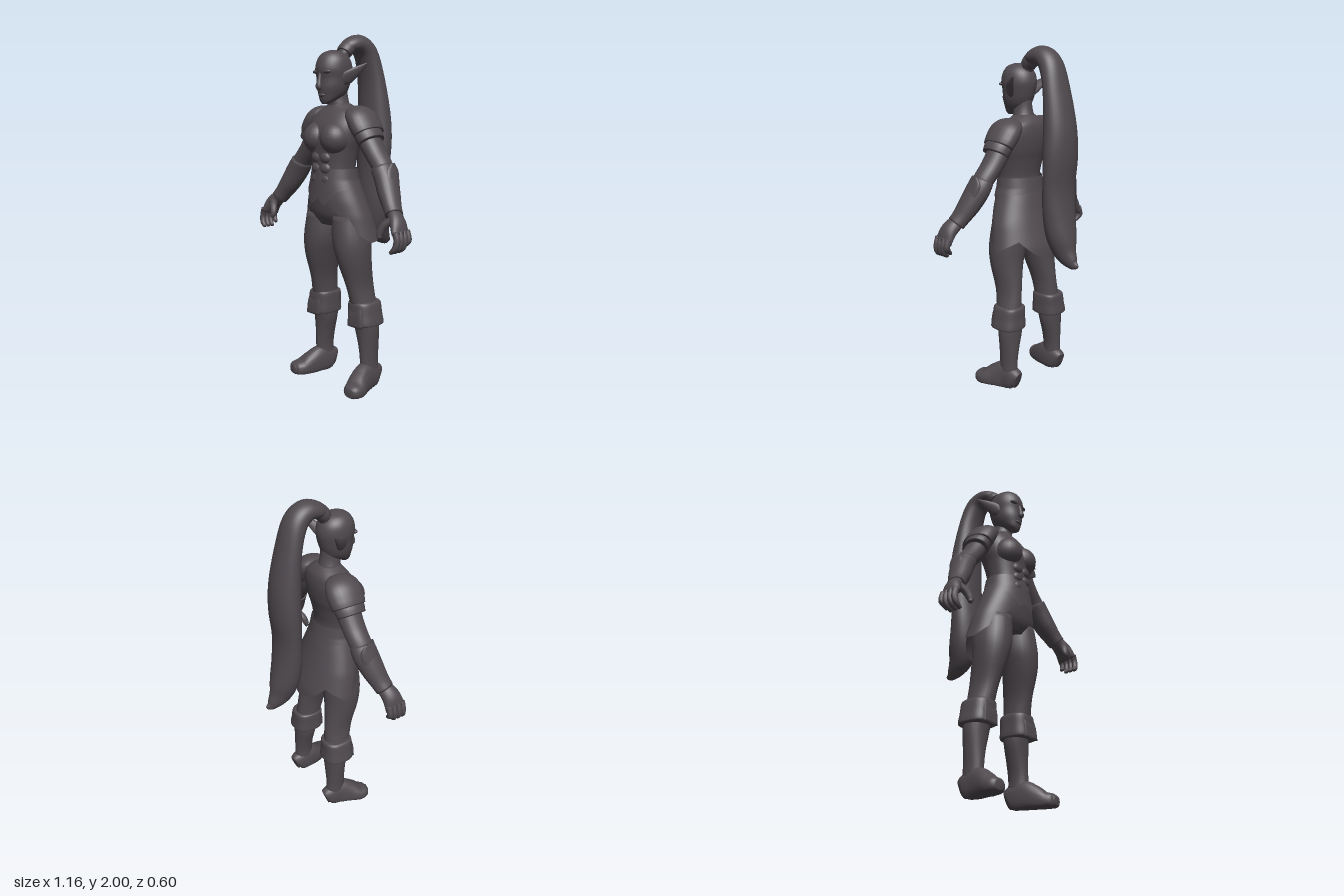
import * as THREE from 'three';

const armor = new THREE.MeshStandardMaterial({ color: 0x504a4f, side: THREE.DoubleSide });
armor.name = 'dark grey';

// Skin over (rows + 1) rings of n points; optional end caps
function skin(rows, n, pointAt, capped) {
  const pos = [], idx = [];
  for (let i = 0; i <= rows; i++)
    for (let j = 0; j < n; j++) pos.push(...pointAt(i / rows, (j / n) * Math.PI * 2));
  for (let i = 0; i < rows; i++)
    for (let j = 0; j < n; j++) {
      const k = (j + 1) % n, a = i * n + j, b = i * n + k, c = b + n, d = a + n;
      idx.push(a, b, c, a, c, d);
    }
  if (capped) {
    for (const row of [0, rows]) {
      const m = [0, 0, 0], centre = pos.length / 3;
      for (let j = 0; j < n; j++) for (let k = 0; k < 3; k++) m[k] += pos[(row * n + j) * 3 + k] / n;
      pos.push(...m);
      for (let j = 0; j < n; j++) {
        const a = row * n + j, b = row * n + (j + 1) % n;
        if (row === 0) idx.push(centre, b, a); else idx.push(centre, a, b);
      }
    }
  }
  const g = new THREE.BufferGeometry();
  g.setAttribute('position', new THREE.Float32BufferAttribute(pos, 3));
  g.setIndex(idx);
  g.computeVertexNormals();
  return g;
}

// Smooth loft through sections [x, y, z, radiusA, radiusB]
function loft(sections, { level = false, power = 1, n = 24, capped = true, minY = -1 } = {}) {
  const path = new THREE.CatmullRomCurve3(sections.map(s => new THREE.Vector3(s[0], s[1], s[2])), false, 'catmullrom');
  const size = new THREE.CatmullRomCurve3(sections.map(s => new THREE.Vector3(s[3], s[4], 0)), false, 'catmullrom');
  const round = v => Math.sign(v) * Math.abs(v) ** power;
  return skin((sections.length - 1) * 5, n, (t, a) => {
    const c = path.getPoint(t), r = size.getPoint(t), d = path.getTangent(t);
    if (level) d.set(0, Math.sign(d.y), 0);
    const u = new THREE.Vector3(1, 0, 0).addScaledVector(d, -d.x).normalize();
    const v = d.clone().cross(u);
    c.addScaledVector(u, Math.max(r.x, 0.001) * round(Math.cos(a)));
    c.addScaledVector(v, Math.max(r.y, 0.001) * round(Math.sin(a)));
    return [c.x, Math.max(c.y, minY), c.z];
  }, capped);
}

// Linear lookup in rows of [key, ...values] with ascending keys
function lookup(rows, key) {
  let i = 0;
  while (i < rows.length - 2 && key > rows[i + 1][0]) i++;
  const [a, b] = [rows[i], rows[i + 1]];
  const t = THREE.MathUtils.clamp((key - a[0]) / (b[0] - a[0]), 0, 1);
  return a.slice(1).map((v, k) => v + (b[k + 1] - v) * t);
}

// Open garment: profile rows [y, z, rx, rz], hem rows [degrees from front, y]
function garment(profile, top, hem) {
  return skin(14, 96, (t, a) => {
    const deg = Math.acos(THREE.MathUtils.clamp(Math.sin(a), -1, 1)) * 180 / Math.PI;
    const y = THREE.MathUtils.lerp(top, lookup(hem, deg)[0], t);
    const [z, rx, rz] = lookup(profile, y);
    return [Math.cos(a) * rx, y, z + Math.sin(a) * rz];
  }, false);
}

function blob(x, y, z, rx, ry, rz) {
  return new THREE.SphereGeometry(1, 24, 16).scale(rx, ry, rz).translate(x, y, z);
}

function mirrored(g) {
  const m = g.clone().scale(-1, 1, 1);
  m.index.array.reverse();
  return m;
}

export function createModel() {
  const model = new THREE.Group();
  const add = (name, g) => {
    const mesh = new THREE.Mesh(g, armor);
    mesh.name = name;
    model.add(mesh);
  };
  const pair = (name, g) => {
    add(name + 'Left', g);
    add(name + 'Right', mirrored(g));
  };

  // Head and face
  add('head', loft([
    [0, 1.612, 0.222, 0.02, 0.02], [0, 1.63, 0.208, 0.042, 0.042], [0, 1.66, 0.178, 0.064, 0.078],
    [0, 1.7, 0.168, 0.08, 0.094], [0, 1.75, 0.16, 0.088, 0.102], [0, 1.8, 0.16, 0.094, 0.11],
    [0, 1.85, 0.16, 0.086, 0.097], [0, 1.885, 0.163, 0.06, 0.066], [0, 1.902, 0.165, 0.02, 0.022],
  ], { level: true, n: 32 }));
  add('nose', loft([[0, 1.785, 0.258, 0.008, 0.008], [0, 1.74, 0.267, 0.012, 0.012],
    [0, 1.705, 0.273, 0.018, 0.015], [0, 1.69, 0.264, 0.012, 0.01]]));
  pair('brow', blob(0.035, 1.785, 0.25, 0.035, 0.012, 0.016));
  add('lips', blob(0, 1.66, 0.25, 0.024, 0.011, 0.014));
  pair('ear', loft([[0.072, 1.735, 0.17, 0.012, 0.03], [0.095, 1.757, 0.14, 0.013, 0.038],
    [0.125, 1.793, 0.1, 0.011, 0.025], [0.154, 1.832, 0.055, 0.003, 0.003]], { n: 16 }));
  add('neck', loft([[0, 1.72, 0.13, 0.05, 0.055], [0, 1.65, 0.13, 0.052, 0.058],
    [0, 1.58, 0.12, 0.07, 0.065]], { level: true }));

  // High ponytail falling behind the back
  add('ponytail', loft([
    [0, 1.855, 0.1, 0.03, 0.03], [0, 1.905, 0.075, 0.042, 0.036], [0, 1.935, 0.035, 0.06, 0.045],
    [0, 1.94, -0.03, 0.068, 0.057], [0, 1.89, -0.088, 0.077, 0.062], [0, 1.76, -0.128, 0.092, 0.062],
    [0, 1.56, -0.155, 0.11, 0.078], [0, 1.4, -0.159, 0.12, 0.079], [0, 1.23, -0.15, 0.115, 0.071],
    [0, 1.08, -0.152, 0.108, 0.08], [0, 0.95, -0.17, 0.092, 0.084], [0, 0.86, -0.2, 0.062, 0.072],
    [0, 0.8, -0.255, 0.03, 0.04], [0, 0.785, -0.295, 0.006, 0.01],
  ], { n: 32 }));
  add('hairTie', loft([[0, 1.89, 0.088, 0.046, 0.04], [0, 1.91, 0.07, 0.05, 0.043], [0, 1.927, 0.05, 0.05, 0.042]]));

  // Torso, chest and abdomen
  add('torso', loft([
    [0, 1.615, 0.12, 0.06, 0.06], [0, 1.59, 0.115, 0.105, 0.08], [0, 1.56, 0.12, 0.155, 0.1],
    [0, 1.5, 0.135, 0.178, 0.12], [0, 1.42, 0.15, 0.168, 0.125], [0, 1.35, 0.158, 0.148, 0.114],
    [0, 1.25, 0.165, 0.133, 0.105], [0, 1.18, 0.155, 0.15, 0.12], [0, 1.08, 0.14, 0.185, 0.13],
    [0, 1, 0.135, 0.19, 0.122], [0, 0.94, 0.135, 0.13, 0.09],
  ], { level: true, n: 40, power: 0.92 }));
  pair('breast', blob(0.07, 1.425, 0.212, 0.085, 0.09, 0.092));
  for (const y of [1.32, 1.26, 1.2]) pair('abdomenPlate', blob(0.036, y, 0.255, 0.038, 0.034, 0.026));

  // Pointed corset hem and split skirt
  add('corset', garment(
    [[1.05, 0.147, 0.212, 0.144], [1.2, 0.157, 0.153, 0.125], [1.3, 0.16, 0.138, 0.108]], 1.26,
    [[0, 1.1], [14, 1.06], [40, 1.135], [90, 1.17], [180, 1.16]]));
  add('skirt', garment(
    [[0.78, 0.095, 0.257, 0.165], [0.86, 0.1, 0.254, 0.163], [1, 0.125, 0.225, 0.145],
      [1.08, 0.14, 0.196, 0.137], [1.2, 0.155, 0.148, 0.122]], 1.2,
    [[0, 1.1], [16, 1.08], [40, 0.985], [60, 0.91], [82, 0.855], [100, 0.86], [135, 0.91], [158, 0.83], [180, 0.79]]));

  // Layered shoulder armor
  pair('shoulderPad', loft([[0.085, 1.575, 0.105, 0.015, 0.045], [0.12, 1.56, 0.105, 0.05, 0.085],
    [0.165, 1.53, 0.106, 0.067, 0.105], [0.2, 1.485, 0.107, 0.068, 0.106], [0.222, 1.452, 0.107, 0.064, 0.1]]));
  pair('shoulderPlate', loft([[0.19, 1.485, 0.11, 0.058, 0.08], [0.22, 1.445, 0.11, 0.067, 0.088],
    [0.243, 1.41, 0.11, 0.064, 0.083]]));

  // Arms, gauntlets and hands
  pair('arm', loft([[0.17, 1.5, 0.105, 0.06, 0.07], [0.22, 1.42, 0.105, 0.06, 0.07],
    [0.275, 1.345, 0.107, 0.055, 0.066], [0.34, 1.265, 0.115, 0.053, 0.062],
    [0.41, 1.14, 0.145, 0.048, 0.058], [0.475, 1.05, 0.175, 0.036, 0.044]]));
  pair('gauntlet', loft([[0.335, 1.275, 0.117, 0.058, 0.07], [0.365, 1.225, 0.122, 0.06, 0.073],
    [0.41, 1.145, 0.145, 0.056, 0.066], [0.45, 1.085, 0.165, 0.047, 0.056], [0.48, 1.045, 0.18, 0.045, 0.052]]));
  pair('elbowPlate', loft([[0.4, 1.305, 0.105, 0.004, 0.012], [0.4, 1.26, 0.11, 0.018, 0.045],
    [0.425, 1.19, 0.13, 0.018, 0.045], [0.46, 1.12, 0.155, 0.01, 0.03]]));
  pair('palm', loft([[0.47, 1.06, 0.175, 0.035, 0.043], [0.52, 1.01, 0.195, 0.036, 0.053],
    [0.55, 0.95, 0.207, 0.022, 0.062]]));
  for (let i = 0; i < 4; i++) {
    const z = 0.162 + i * 0.029, drop = i === 0 ? 0.02 : 0;
    pair('finger', loft([[0.55, 0.975, z, 0.018, 0.017], [0.564, 0.93, z, 0.018, 0.017],
      [0.556, 0.89 + drop, z + 0.006, 0.017, 0.016], [0.53, 0.865 + drop, z + 0.012, 0.01, 0.01]], { n: 12 }));
  }
  pair('thumb', loft([[0.505, 1.03, 0.215, 0.022, 0.022], [0.465, 0.995, 0.24, 0.022, 0.022],
    [0.45, 0.955, 0.255, 0.018, 0.018], [0.455, 0.93, 0.262, 0.01, 0.01]], { n: 12 }));

  // Legs, cuffed boots and feet
  pair('leg', loft([[0.108, 1, 0.135, 0.095, 0.115], [0.122, 0.86, 0.142, 0.106, 0.115],
    [0.137, 0.75, 0.137, 0.09, 0.106], [0.152, 0.6, 0.108, 0.063, 0.09], [0.167, 0.47, 0.088, 0.068, 0.08]], { level: true }));
  pair('bootShaft', loft([[0.168, 0.48, 0.085, 0.07, 0.08], [0.175, 0.36, 0.075, 0.075, 0.068],
    [0.186, 0.25, 0.072, 0.056, 0.062], [0.192, 0.16, 0.072, 0.044, 0.06], [0.192, 0.06, 0.07, 0.046, 0.062]], { level: true }));
  pair('bootCuff', loft([[0.167, 0.51, 0.088, 0.07, 0.08], [0.169, 0.495, 0.086, 0.08, 0.09],
    [0.174, 0.44, 0.086, 0.085, 0.092], [0.179, 0.385, 0.085, 0.09, 0.096], [0.179, 0.375, 0.085, 0.078, 0.085]],
  { level: true, power: 0.75, n: 32 }));
  pair('cuffFlap', loft([[0.172, 0.5, 0.155, 0.045, 0.012], [0.176, 0.44, 0.168, 0.052, 0.012],
    [0.18, 0.37, 0.172, 0.055, 0.012]], { level: true, power: 0.5 }));
  pair('foot', loft([[0.187, 0.05, 0.003, 0.03, 0.05], [0.19, 0.06, 0.03, 0.046, 0.07],
    [0.195, 0.06, 0.1, 0.052, 0.09], [0.212, 0.045, 0.165, 0.058, 0.075], [0.234, 0.03, 0.22, 0.062, 0.052],
    [0.245, 0.03, 0.262, 0.052, 0.04], [0.248, 0.03, 0.284, 0.028, 0.024]], { minY: 0, power: 0.85 }));

  return model;
}
